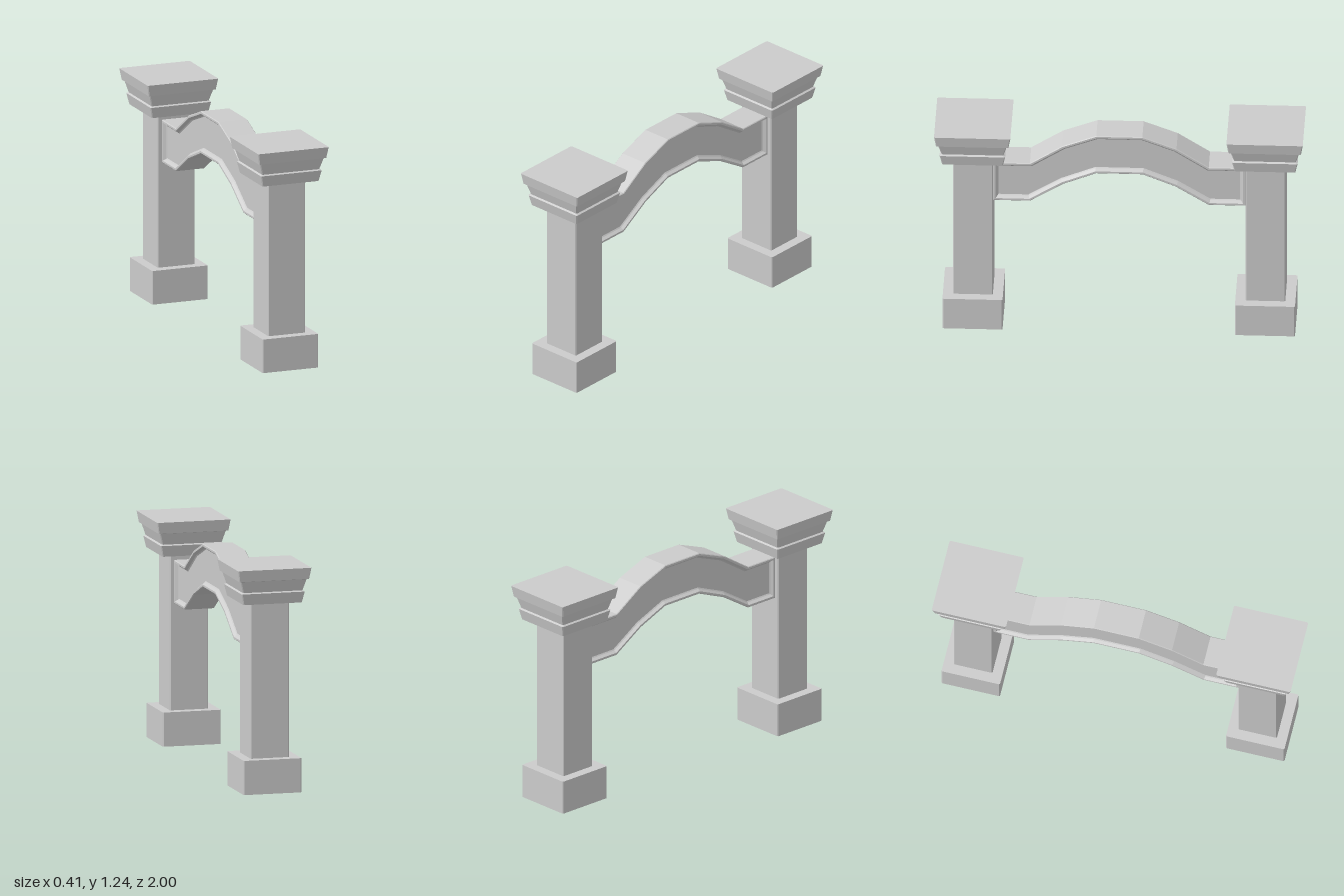
import * as THREE from 'three';

const material = new THREE.MeshStandardMaterial({ color: 0xcccccc, flatShading: true });

// Solid through a list of equal-length rings, each counter-clockwise seen from the first end.
function loft(name, rings) {
  const pos = [];
  const tri = (...pts) => pts.forEach((p) => pos.push(...p));
  const n = rings[0].length;
  for (let k = 0; k < rings.length - 1; k++) {
    for (let i = 0; i < n; i++) {
      const j = (i + 1) % n;
      const [a, b, c, d] = [rings[k][i], rings[k][j], rings[k + 1][i], rings[k + 1][j]];
      tri(a, c, b);
      tri(b, c, d);
    }
  }
  // End caps: strips joining the first half of a ring to its second half
  const first = rings[0], last = rings[rings.length - 1];
  for (let i = 0; i < n / 2 - 1; i++) {
    const p = n - 1 - i, q = n - 2 - i;
    tri(first[i], first[i + 1], first[q]);
    tri(first[i], first[q], first[p]);
    tri(last[i], last[q], last[i + 1]);
    tri(last[i], last[p], last[q]);
  }
  const geo = new THREE.BufferGeometry();
  geo.setAttribute('position', new THREE.Float32BufferAttribute(pos, 3));
  geo.computeVertexNormals();
  const mesh = new THREE.Mesh(geo, material);
  mesh.name = name;
  return mesh;
}

// Square ring with small chamfered corners at height y
function squareRing(h, y, c = 0.005) {
  const k = h - c;
  return [[h, k], [k, h], [-k, h], [-h, k], [-h, -k], [-k, -h], [k, -h], [h, -k]]
    .map(([x, z]) => [x, y, -z])
    .map((p, i, all) => all[(i + 7) % 8]);
}

// Square block from [half width, height] pairs, top to bottom
const block = (name, profile) => loft(name, profile.map(([h, y]) => squareRing(h, y)));

function makePillar(name, z) {
  const pillar = new THREE.Group();
  pillar.name = name;
  pillar.add(
    block('base', [[0.163, 0.188], [0.163, 0]]),
    block('shaft', [[0.108, 1.05], [0.108, 0.18]]),
    block('capital', [
      [0.207, 1.24], [0.197, 1.178], [0.186, 1.175],
      [0.168, 1.112], [0.178, 1.106], [0.165, 1.045],
    ]),
  );
  pillar.position.z = z;
  return pillar;
}

// Moves every edge of a closed [z, y] outline inwards by d
function inset(outline, d) {
  const n = outline.length;
  const normal = (a, b) => {
    const dz = b[0] - a[0], dy = b[1] - a[1], l = Math.hypot(dz, dy);
    return [dy / l, -dz / l];
  };
  return outline.map((p, i) => {
    const m = normal(outline[(i + n - 1) % n], p);
    const q = normal(p, outline[(i + 1) % n]);
    const s = d / (1 + m[0] * q[0] + m[1] * q[1]);
    return [p[0] + (m[0] + q[0]) * s, p[1] + (m[1] + q[1]) * s];
  });
}

// Arched beam with a raised moulding around a sunken panel on both sides
function makeArch() {
  const lower = [[0.685, 0.775], [0.485, 0.775], [0.305, 0.887], [0.125, 0.96]];
  const upper = [[0.685, 1.015], [0.485, 1.015], [0.31, 1.128], [0.125, 1.198]];
  const mirror = (half) => [...half, ...half.map(([z, y]) => [-z, y]).reverse()];
  const outline = [...mirror(lower), ...mirror(upper).reverse()];
  const side = [[0.03, 0.065], [0.024, 0.07], [0.014, 0.085], [0.004, 0.085], [0, 0.081]];
  const steps = [...side, ...side.map(([d, x]) => [d, -x]).reverse()];
  return loft('archBeam', steps.map(([d, x]) => inset(outline, d).map(([z, y]) => [x, y, z])));
}

export function createModel() {
  const group = new THREE.Group();
  group.name = 'archway';
  group.add(makePillar('frontPillar', 0.793), makePillar('backPillar', -0.793), makeArch());
  return group;
}
